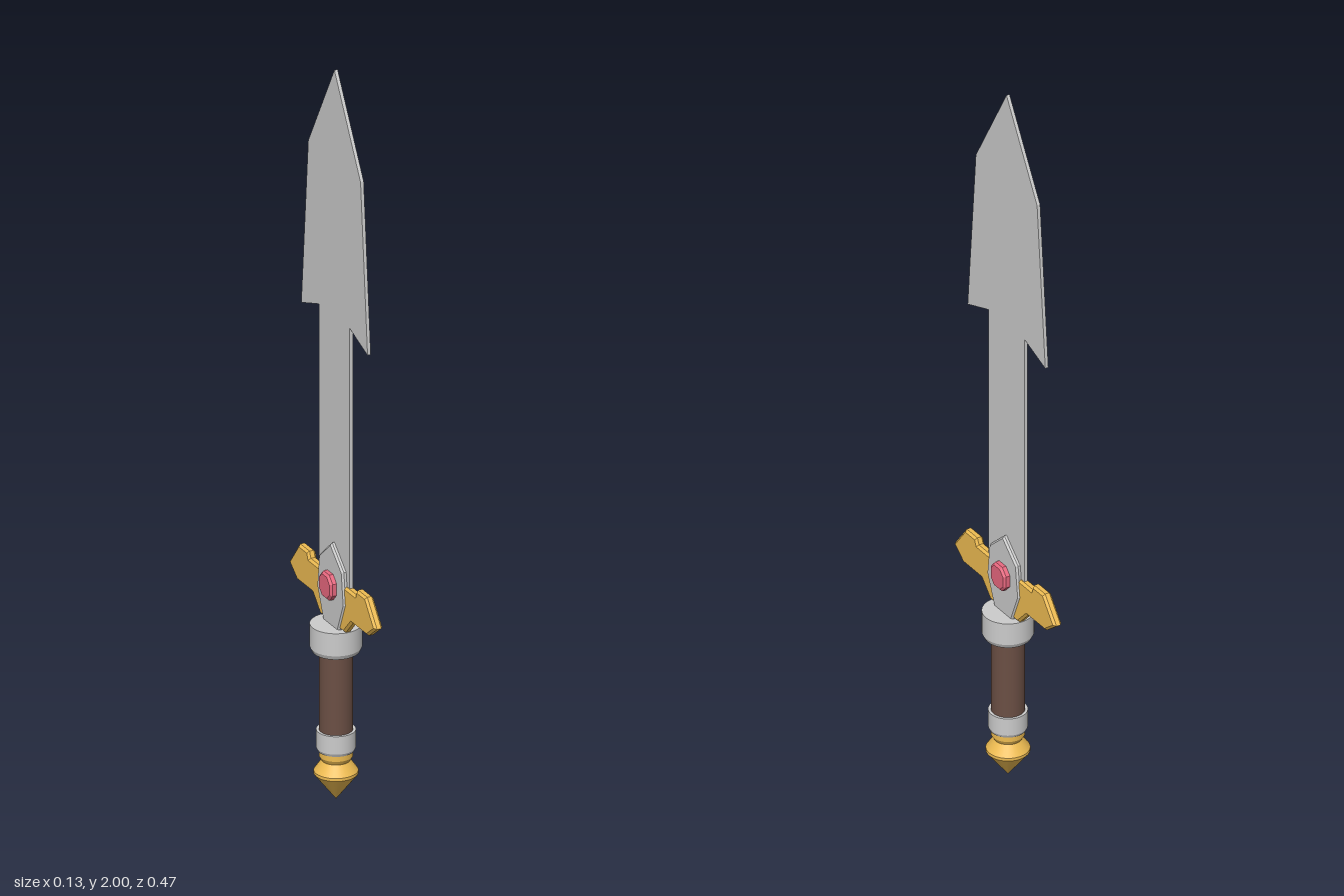
import * as THREE from 'three';

const mat = (color) => new THREE.MeshStandardMaterial({ color, flatShading: true });

// Slab symmetric about z = 0, from a half outline of [z, y] points running top to bottom
function slab(name, half, thickness, bevel, material) {
  const mirrored = half.filter(([z]) => z > 0).map(([z, y]) => [-z, y]).reverse();
  const shape = new THREE.Shape([...half, ...mirrored].map(([z, y]) => new THREE.Vector2(z, y)));
  const geo = new THREE.ExtrudeGeometry(shape, {
    depth: thickness - 2 * bevel,
    bevelEnabled: bevel > 0,
    bevelThickness: bevel,
    bevelSize: bevel,
    bevelOffset: -bevel,
    bevelSegments: 1,
  });
  geo.translate(0, 0, bevel - thickness / 2).rotateY(Math.PI / 2);
  const mesh = new THREE.Mesh(geo, material);
  mesh.name = name;
  return mesh;
}

// Turned part from [radius, y] points running bottom to top
function turned(name, profile, material) {
  // Separate bands keep the rims sharp and the sides smooth
  const part = new THREE.Group();
  part.name = name;
  for (let i = 0; i < profile.length - 1; i++) {
    const pts = [profile[i], profile[i + 1]].map(([r, y]) => new THREE.Vector2(r, y));
    const band = new THREE.Mesh(new THREE.LatheGeometry(pts, 32), material);
    band.name = name + 'Band';
    part.add(band);
  }
  return part;
}

export function createModel() {
  const model = new THREE.Group();
  model.name = 'sword';
  const steel = mat(0xcccccc);
  const gold = mat(0xeebc52);
  const ruby = mat(0xe8687f);
  const smoothSteel = new THREE.MeshStandardMaterial({ color: 0xcccccc });
  const smoothGold = new THREE.MeshStandardMaterial({ color: 0xeebc52 });
  const leather = new THREE.MeshStandardMaterial({ color: 0x6b4f44 });

  // Thin blade with a barbed, spear-shaped head
  model.add(slab('blade', [
    [0, 2], [0.142, 1.75], [0.18, 1.29], [0.083, 1.325], [0.083, 0.56],
  ], 0.009, 0, steel));

  // Crossguard with both wings
  model.add(slab('crossguard', [
    [0.08, 0.61], [0.125, 0.61], [0.132, 0.627], [0.182, 0.627], [0.235, 0.56],
    [0.19, 0.525], [0.105, 0.525], [0.065, 0.483],
  ], 0.024, 0.006, gold));

  // Pointed plate over the guard
  model.add(slab('guardPlate', [
    [0, 0.705], [0.064, 0.648], [0.075, 0.56], [0.04, 0.475],
  ], 0.032, 0.005, steel));

  // Eight-sided gem showing on both faces
  const gem = slab('gem', [
    [0.016, 0.035], [0.034, 0.016], [0.034, -0.016], [0.016, -0.035],
  ], 0.066, 0.006, ruby);
  gem.position.y = 0.59;
  model.add(gem);

  // Handle
  model.add(turned('collar', [
    [0, 0.408], [0.06, 0.408], [0.066, 0.42], [0.066, 0.482], [0, 0.482],
  ], smoothSteel));
  model.add(turned('grip', [[0.043, 0.18], [0.043, 0.415]], leather));
  model.add(turned('lowerRing', [
    [0, 0.135], [0.046, 0.135], [0.05, 0.143], [0.05, 0.192], [0, 0.192],
  ], smoothSteel));
  model.add(turned('pommel', [
    [0, 0], [0.056, 0.072], [0.056, 0.08], [0.036, 0.108], [0.043, 0.12], [0.043, 0.136],
  ], smoothGold));

  return model;
}
